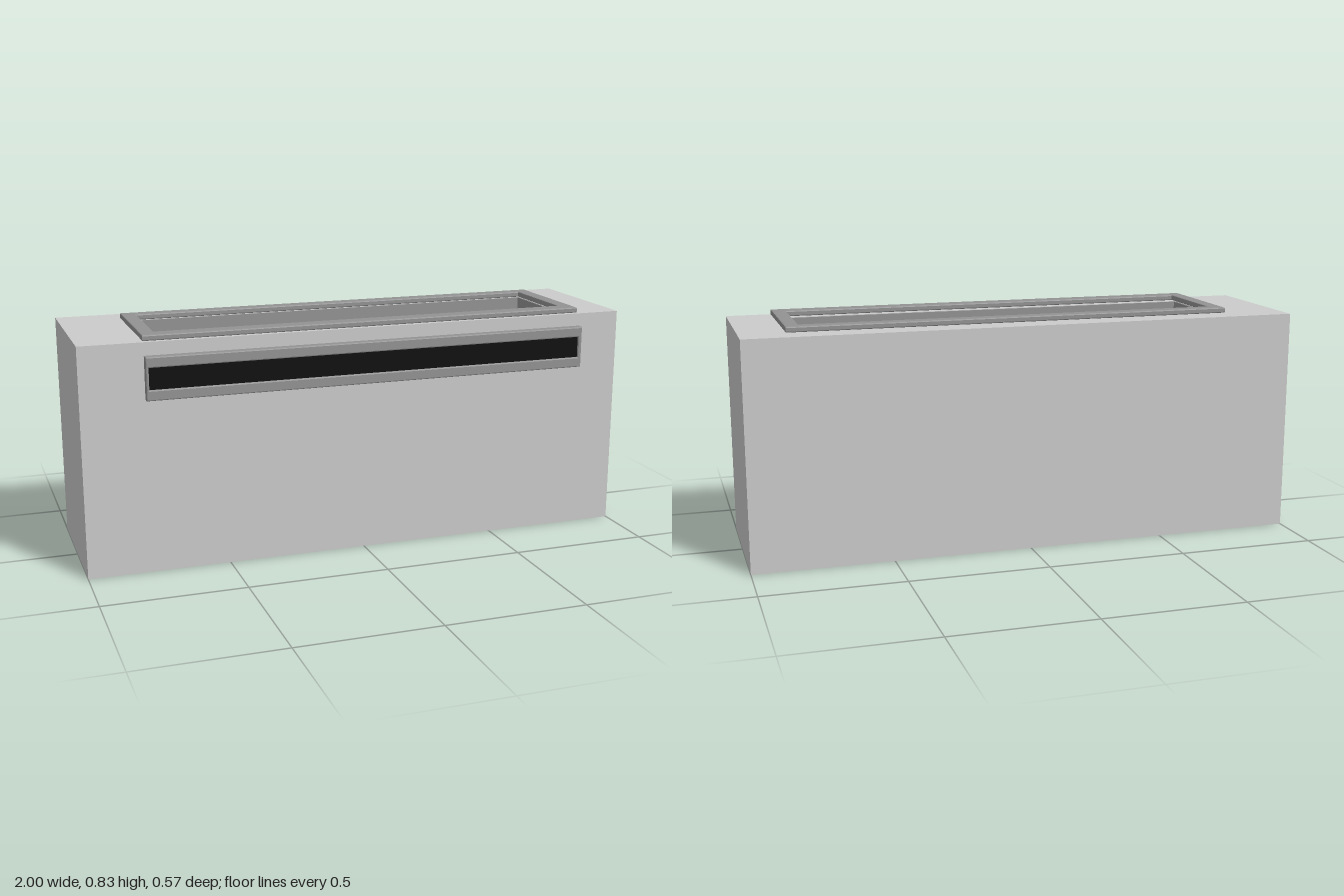
import * as THREE from 'three';

const bodyMat = new THREE.MeshStandardMaterial({ color: 0xcccccc });
const trimMat = new THREE.MeshStandardMaterial({ color: 0x939393 });
const slotMat = new THREE.MeshStandardMaterial({ color: 0x0c0c0c });

function add(group, name, geometry, material) {
  const mesh = new THREE.Mesh(geometry, material);
  mesh.name = name;
  group.add(mesh);
  return mesh;
}

// Box given by its minimum and maximum corners
function box([x0, y0, z0], [x1, y1, z1]) {
  return new THREE.BoxGeometry(x1 - x0, y1 - y0, z1 - z0)
    .translate((x0 + x1) / 2, (y0 + y1) / 2, (z0 + z1) / 2);
}

function trace(path, [x0, y0, x1, y1]) {
  path.moveTo(x0, y0);
  path.lineTo(x1, y0);
  path.lineTo(x1, y1);
  path.lineTo(x0, y1);
  path.closePath();
  return path;
}

// Rectangular ring, extruded along +z from 0 to depth, with optional softened edges
function frame(outer, inner, depth, bevel = 0) {
  const grow = ([a, b, c, d], e) => [a - e, b - e, c + e, d + e];
  const shape = trace(new THREE.Shape(), grow(outer, -bevel));
  shape.holes.push(trace(new THREE.Path(), grow(inner, bevel)));
  return new THREE.ExtrudeGeometry(shape, {
    depth: depth - 2 * bevel, bevelEnabled: bevel > 0,
    bevelSize: bevel, bevelThickness: bevel, bevelSegments: 2,
  }).translate(0, 0, bevel);
}

// Ring lying flat: bounds are [x0, z0, x1, z1]
function flatFrame(outer, inner, y0, y1, bevel) {
  const flip = ([a, b, c, d]) => [a, -d, c, -b];
  return frame(flip(outer), flip(inner), y1 - y0, bevel).rotateX(-Math.PI / 2).translate(0, y0, 0);
}

export function createModel() {
  const model = new THREE.Group();
  const top = 0.81, floor = 0.42;
  const pocket = [-0.73, -0.144, 0.79, 0.155];
  const liner = [-0.727, -0.141, 0.787, 0.152];

  // Casing: solid base below, hollow around the pocket
  const casing = new THREE.Group();
  casing.name = 'casing';
  model.add(casing);
  add(casing, 'casingBase', box([-1, 0, -0.285], [1, floor, 0.255]), bodyMat);
  add(casing, 'casingWalls', flatFrame([-1, -0.285, 1, 0.255], pocket, floor, top), bodyMat);

  // Dark lining of the top pocket
  add(model, 'pocketLining', flatFrame(pocket, liner, floor, top - 0.002), trimMat);
  add(model, 'pocketFloor', box([-0.73, floor, -0.144], [0.79, floor + 0.004, 0.155]), trimMat);

  // Raised collar around the pocket opening
  add(model, 'topCollar',
    flatFrame([-0.78, -0.192, 0.84, 0.24], [-0.73, -0.144, 0.79, 0.182], top, 0.83, 0.004), trimMat);

  // Roller spanning the pocket
  const roller = add(model, 'roller', new THREE.CylinderGeometry(0.028, 0.028, 1.52, 32), trimMat);
  roller.rotation.z = Math.PI / 2;
  roller.position.set(0.03, 0.725, -0.018);

  // Front slot with its surround
  const surround = add(model, 'slotSurround',
    frame([-0.78, 0.615, 0.84, 0.765], [-0.77, 0.652, 0.826, 0.728], 0.032, 0.004), trimMat);
  surround.position.z = 0.255;
  add(model, 'slot', box([-0.774, 0.648, 0.25], [0.83, 0.732, 0.28]), slotMat);

  return model;
}
